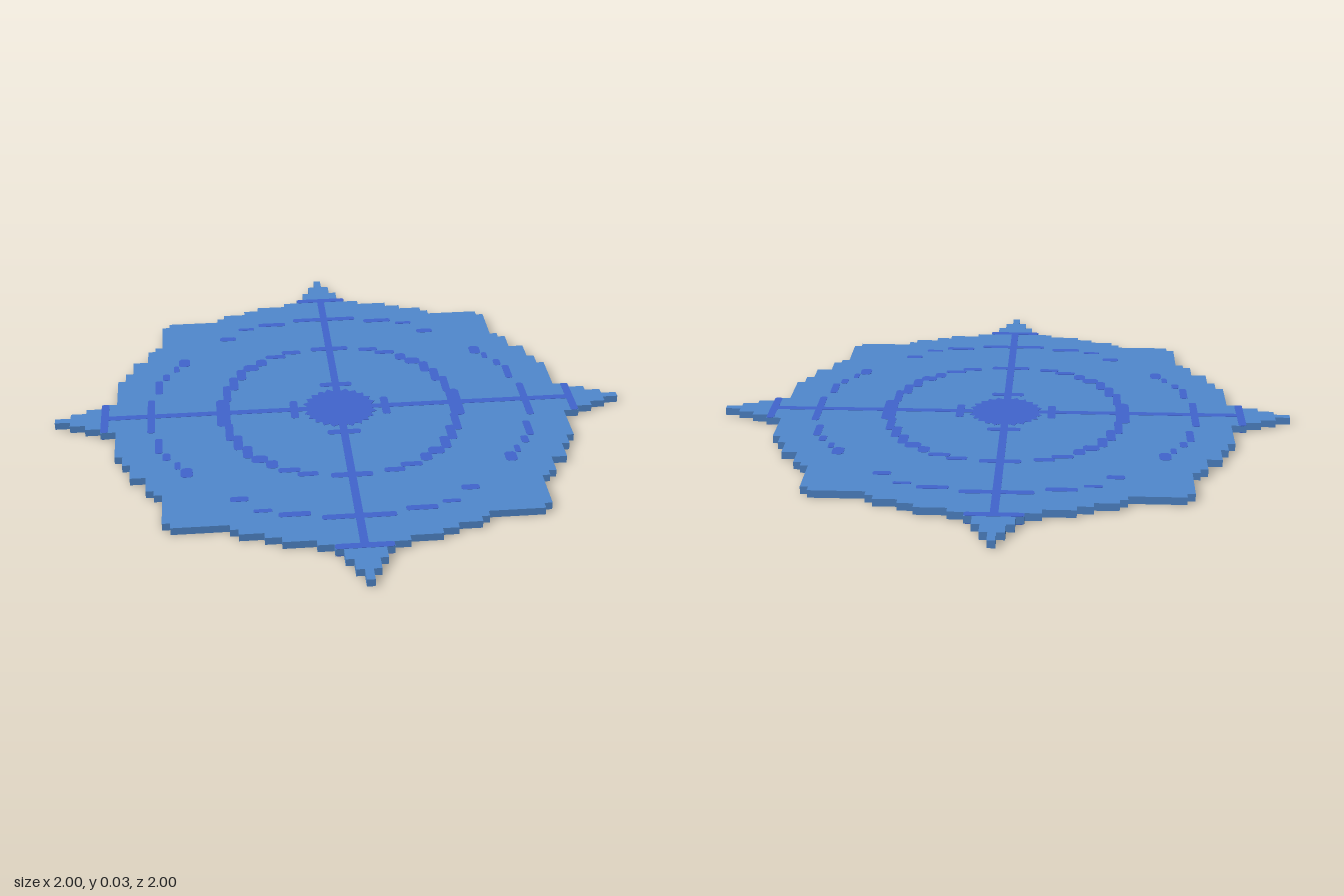
import * as THREE from 'three';
import { mergeGeometries } from 'three/addons/utils/BufferGeometryUtils.js';

const CELL = 2 / 75;
const THICK = 0.028; // total height, inlay included
const SKIN = 0.001; // how far the inlay stands proud

// Extrude a shape drawn in plan (x, z) between two heights
function slab(shape, y0, y1) {
  const g = new THREE.ExtrudeGeometry(shape, { depth: y1 - y0, bevelEnabled: false });
  g.rotateX(-Math.PI / 2);
  g.translate(0, y0, 0);
  return g;
}

// Stepped outline: each pair is [half width, inner z] of one step, in cells
function plateShape() {
  const steps = [
    [0.5, 35.5], [1.5, 33.5], [2.5, 31.5], [3.5, 30.5], [5.5, 29.5], [9.5, 28.5],
    [11.5, 27.5], [14.5, 26.5], [15.5, 25.5], [22.5, 24.5], [23.5, 18.5], [24.5, 17.5],
    [25.5, 14.5], [27.5, 11.5], [28.5, 9.5], [29.5, 3.5], [31.5, 2.5], [33.5, 1.5],
    [35.5, 0.5], [37.5, 0],
  ];
  const quarter = [];
  let z = 37.5;
  for (const [x, next] of steps) {
    quarter.push([x, z]);
    if (next > 0) quarter.push([x, next]);
    z = next;
  }
  const back = [...quarter].reverse();
  const points = [
    ...quarter,
    ...back.map(([x, y]) => [x, -y]),
    ...quarter.map(([x, y]) => [-x, -y]),
    ...back.map(([x, y]) => [-x, y]),
  ];
  return new THREE.Shape(points.map(([x, y]) => new THREE.Vector2(x * CELL, y * CELL)));
}

// Bar with clipped corners
function dashShape(x, z, w, d, clip = 0.45) {
  const c = Math.min(w, d) * clip;
  return new THREE.Shape([
    [w - c, -d], [w, c - d], [w, d - c], [w - c, d],
    [c - w, d], [-w, d - c], [-w, c - d], [c - w, -d],
  ].map(([a, b]) => new THREE.Vector2(x + a, z + b)));
}

// Repeat a dash in every quadrant it does not already straddle
function mirrored(list) {
  const shapes = [];
  for (const [x, z, w, d] of list)
    for (const sx of x ? [1, -1] : [1])
      for (const sz of z ? [1, -1] : [1]) shapes.push(dashShape(x * sx, z * sz, w, d));
  return shapes;
}

// Central disc with a ragged rim
function hubShape() {
  const points = [];
  for (let i = 0; i < 48; i++) {
    const a = (i / 48) * Math.PI * 2;
    const r = i % 2 ? 0.116 : 0.132;
    points.push(new THREE.Vector2(Math.cos(a) * r, Math.sin(a) * r));
  }
  return new THREE.Shape(points);
}

export function createModel() {
  const model = new THREE.Group();
  const blue = new THREE.MeshStandardMaterial({ color: 0x5088cc });
  blue.name = 'plate blue';
  const indigo = new THREE.MeshStandardMaterial({ color: 0x4064cc });
  indigo.name = 'inlay indigo';

  const plate = new THREE.Mesh(slab(plateShape(), SKIN, THICK - SKIN), blue);
  plate.name = 'plate';
  model.add(plate);

  const h = CELL / 2;
  const tip = 31 * CELL;
  const parts = {
    crossLines: [dashShape(0, 0, 31.5 * CELL, h, 0), dashShape(0, 0, h, 31.5 * CELL, 0)],
    tipBars: mirrored([[0, tip, 3.5 * CELL, h], [tip, 0, h, 3.5 * CELL]]),
    hub: [hubShape()],
    hubDashes: mirrored([[0, 0.162, 0.058, 0.014], [0.162, 0, 0.014, 0.058]]),
    innerRing: mirrored([
      [0, 0.43, 0.07, 0.014], [0.145, 0.413, 0.035, 0.013], [0.205, 0.385, 0.037, 0.013],
      [0.26, 0.345, 0.02, 0.024], [0.3, 0.31, 0.028, 0.022], [0.338, 0.262, 0.017, 0.038],
      [0.368, 0.2, 0.016, 0.046], [0.395, 0.13, 0.014, 0.055], [0.412, 0, 0.024, 0.09],
    ]),
    outerRing: mirrored([
      [0, 0.667, 0.12, 0.013], [0.205, 0.64, 0.052, 0.013], [0.305, 0.612, 0.03, 0.009],
      [0.378, 0.54, 0.03, 0.014], [0.545, 0.37, 0.02, 0.028], [0.575, 0.325, 0.01, 0.022],
      [0.612, 0.268, 0.013, 0.022], [0.638, 0.197, 0.013, 0.047], [0.665, 0, 0.013, 0.11],
    ]),
  };

  // Inlay shows on both faces of the plate
  for (const [name, shapes] of Object.entries(parts)) {
    const layers = shapes.flatMap((s) => [
      slab(s, 0, 0.003),
      slab(s, THICK - 0.003, THICK),
    ]);
    const mesh = new THREE.Mesh(mergeGeometries(layers), indigo);
    mesh.name = name;
    model.add(mesh);
  }
  return model;
}
